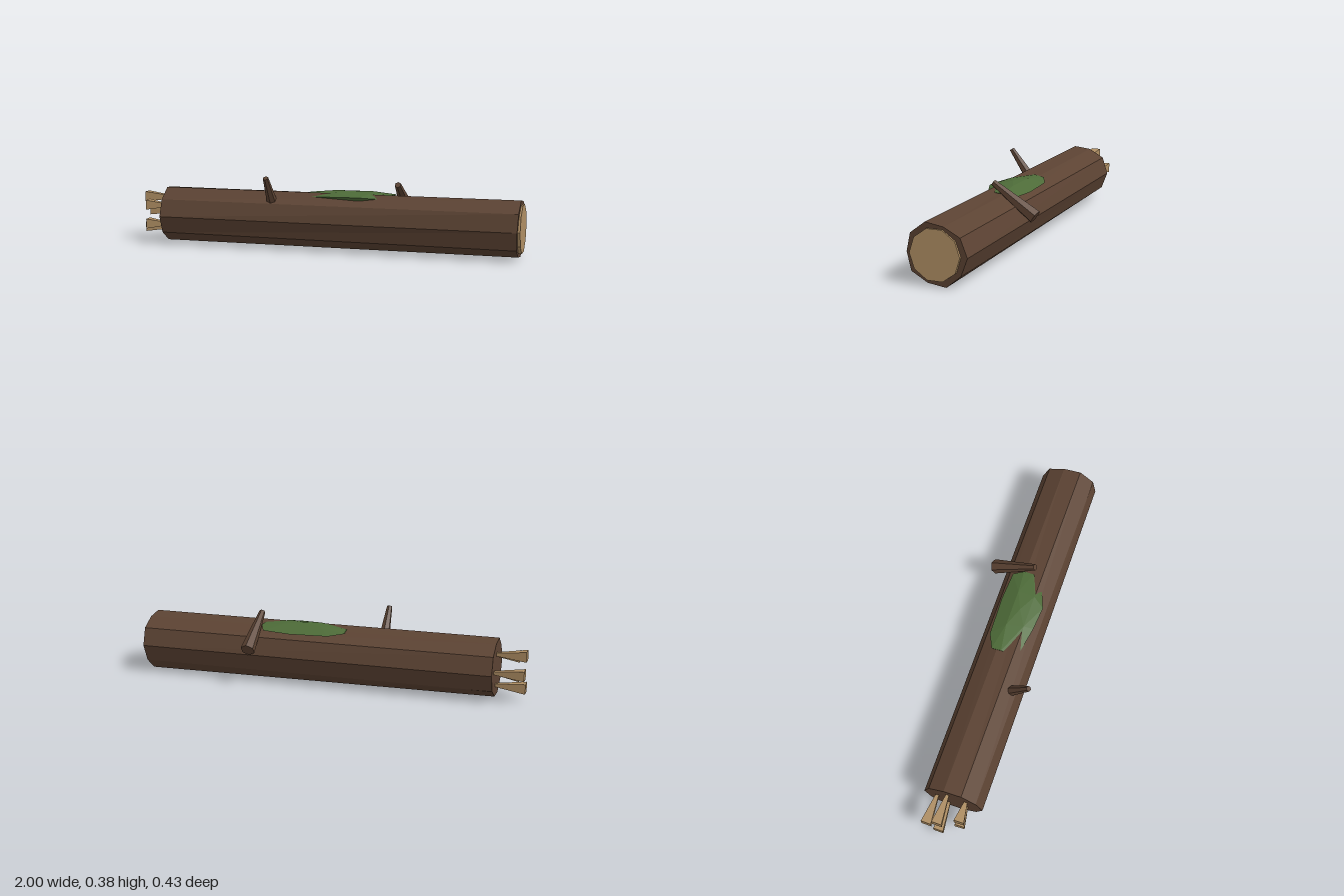
import * as THREE from 'three';
import { ConvexGeometry } from 'three/addons/geometries/ConvexGeometry.js';

const CY = 0.147, CZ = 0.02; // trunk axis, running along x

// Point at angle a (from +z towards +y) around the trunk axis
const around = (x, r, a) => new THREE.Vector3(x, CY + r * Math.sin(a), CZ + r * Math.cos(a));

// Ten-sided uneven log with closed ends
function trunkGeometry() {
  const farR = [0.152, 0.147, 0.150, 0.140, 0.150, 0.150, 0.145, 0.140, 0.143, 0.146];
  const nearR = [0.142, 0.150, 0.152, 0.137, 0.150, 0.154, 0.148, 0.154, 0.141, 0.151];
  const n = nearR.length;
  const far = farR.map((r, i) => around(-0.85, r, (i / n) * Math.PI * 2));
  const near = nearR.map((r, i) => around(0.988 + 0.005 * Math.sin((i / n) * Math.PI * 2), r, (i / n) * Math.PI * 2));
  const farMid = around(-0.85, 0, 0), nearMid = around(0.988, 0, 0);
  const points = [];
  for (let i = 0; i < n; i++) {
    const j = (i + 1) % n;
    points.push(far[i], near[i], near[j], far[i], near[j], far[j]);
    points.push(nearMid, near[j], near[i], farMid, far[i], far[j]);
  }
  const geometry = new THREE.BufferGeometry().setFromPoints(points);
  geometry.computeVertexNormals();
  return geometry;
}

// Tapered stick from a to b
function stick(a, b, ra, rb, sides, material, name) {
  const dir = new THREE.Vector3().subVectors(b, a);
  const geometry = new THREE.CylinderGeometry(rb, ra, dir.length(), sides);
  if (sides === 4) geometry.rotateY(Math.PI / 4);
  const mesh = new THREE.Mesh(geometry, material);
  mesh.position.addVectors(a, b).multiplyScalar(0.5);
  mesh.quaternion.setFromUnitVectors(new THREE.Vector3(0, 1, 0), dir.normalize());
  mesh.name = name;
  return mesh;
}

export function createModel() {
  const paint = (name, color) => {
    const m = new THREE.MeshStandardMaterial({ color, flatShading: true });
    m.name = name;
    return m;
  };
  const bark = paint('bark', 0x5c4333);
  const wood = paint('cut wood', 0xb08f64);
  const green = paint('moss green', 0x4d6b38);

  const group = new THREE.Group();
  group.name = 'fallenLog';
  const v = (x, y, z) => new THREE.Vector3(x, y, z);

  const trunk = new THREE.Mesh(trunkGeometry(), bark);
  trunk.name = 'trunk';
  group.add(trunk);

  // Sawn end
  const cut = new THREE.Mesh(new THREE.CylinderGeometry(0.123, 0.123, 0.02, 10), wood);
  cut.rotation.z = -Math.PI / 2;
  cut.position.set(0.99, CY, CZ);
  cut.name = 'cutFace';
  group.add(cut);

  // Branch stubs
  group.add(stick(v(-0.255, 0.236, 0.105), v(-0.255, 0.371, 0.203), 0.027, 0.014, 6, bark, 'frontBranch'));
  group.add(stick(v(0.377, 0.19, -0.194), v(0.377, 0.339, 0.022), 0.037, 0.016, 6, bark, 'backBranch'));

  // Ring of splinters on the broken end, flaring outwards
  for (let i = 0; i < 5; i++) {
    const a = ((36 + 72 * i) * Math.PI) / 180;
    const tip = i === 0 || i === 4 ? -0.953 : -1;
    group.add(stick(around(-0.83, 0.082, a), around(tip, 0.085, a), 0.008, 0.036, 4, wood, 'splinter'));
  }

  // Moss patch draped over the top
  const moss = new THREE.Mesh(new ConvexGeometry([
    v(0.15, 0.301, 0.02), v(0.05, 0.296, -0.02), v(0.24, 0.297, -0.02), v(0.24, 0.294, 0.066), v(0.07, 0.294, 0.066),
    v(-0.085, 0.285, 0), v(-0.085, 0.275, -0.05), v(-0.01, 0.265, -0.085), v(0.19, 0.262, -0.092),
    v(0.335, 0.268, -0.082), v(0.36, 0.284, -0.03), v(0.36, 0.286, 0.02), v(0.33, 0.268, 0.075),
    v(0.2, 0.28, 0.125), v(0.2, 0.257, 0.1), v(0.08, 0.277, 0.115), v(-0.085, 0.27, 0.085),
  ]), green);
  moss.name = 'moss';
  group.add(moss);

  return group;
}
